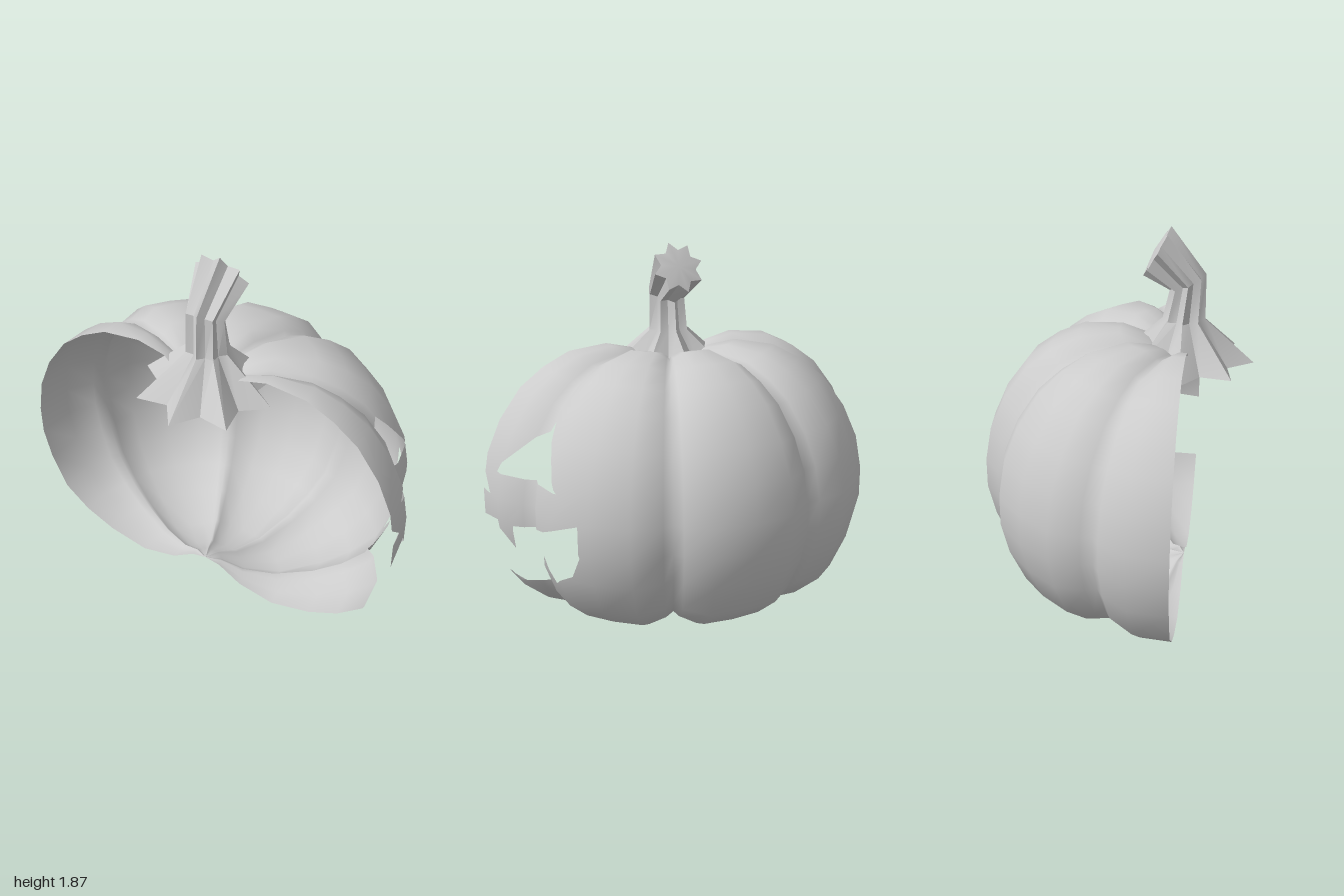
import * as THREE from 'three';
import { toCreasedNormals } from 'three/addons/utils/BufferGeometryUtils.js';

const CUT_Z = 0.345, MID_Y = 0.69;
const material = () => new THREE.MeshStandardMaterial({ color: 0xcccccc, side: THREE.DoubleSide });

// Rib crest outline (radius, height), from the bottom dimple to under the stem
const PROFILE = [
  [0, 0.13], [0.08, 0.115], [0.2, 0.04], [0.39, 0], [0.6, 0.05], [0.755, 0.125], [0.885, 0.235],
  [0.962, 0.41], [1, 0.57], [1, 0.72], [0.97, 0.89], [0.9, 1.05], [0.79, 1.2], [0.67, 1.29],
  [0.535, 1.355], [0.34, 1.375], [0.2, 1.34], [0.1, 1.24],
];
// One rib: angle from its crest in degrees, and scale of the outline there
const RIB = [[-22.5, 0.917], [-19.7, 0.95], [-11.25, 1], [0, 1], [11.25, 1], [19.7, 0.95]];

// Carved openings on the +x side, as (z, y) outlines
const EYE = [[0, 1.11], [0.2, 0.84], [-0.21, 0.84]];
const NOSE = [[0.36, 0.81], [0.253, 0.712], [0.36, 0.712]];
const MOUTH = [
  [0.36, 0.575], [0.17, 0.605], [0.1, 0.47], [0.08, 0.595], [-0.123, 0.627], [-0.317, 0.708],
  [-0.317, 0.552], [-0.255, 0.437], [-0.107, 0.347], [-0.079, 0.49], [-0.004, 0.312], [0.17, 0.263], [0.36, 0.252],
];

// Half shell of ribs as an indexed grid
function shellGrid() {
  const columns = [];
  for (let rib = 0; rib <= 4; rib++)
    for (const [a, k] of RIB) {
      const deg = rib * 45 + a;
      if (deg >= 0 && deg <= 180) columns.push([THREE.MathUtils.degToRad(deg), k]);
    }
  const pos = [], index = [], n = PROFILE.length;
  columns.forEach(([t, k], i) => {
    PROFILE.forEach(([r, y], j) => {
      const s = THREE.MathUtils.lerp(1, k, Math.min(1, r / 0.34));
      pos.push(r * s * Math.cos(t), MID_Y + (y - MID_Y) * s, CUT_Z - r * s * Math.sin(t));
      if (i && j) {
        const d = i * n + j, c = d - 1, b = d - n, a = b - 1;
        index.push(a, c, d, a, d, b);
      }
    });
  });
  const g = new THREE.BufferGeometry();
  g.setAttribute('position', new THREE.Float32BufferAttribute(pos, 3));
  g.setIndex(index);
  g.computeVertexNormals();
  return g;
}

// Split a polygon of [x,y,z,nx,ny,nz] corners by the line a-b in the z-y plane
function split(poly, a, b) {
  const side = (v) => (b[0] - a[0]) * (v[1] - a[1]) - (b[1] - a[1]) * (v[2] - a[0]);
  const inside = [], outside = [];
  poly.forEach((p, i) => {
    const q = poly[(i + 1) % poly.length], sp = side(p), sq = side(q);
    (sp >= 0 ? inside : outside).push(p);
    if ((sp >= 0) !== (sq >= 0)) {
      const m = p.map((v, c) => v + (q[c] - v) * sp / (sp - sq));
      inside.push(m);
      outside.push(m);
    }
  });
  return { inside, outside };
}

// Remove a counter-clockwise triangle from a polygon, returning the pieces left
function subtract(poly, tri) {
  const left = [];
  let rest = poly;
  for (let e = 0; e < 3 && rest.length > 2; e++) {
    const { inside, outside } = split(rest, tri[e], tri[(e + 1) % 3]);
    if (outside.length > 2) left.push(outside);
    rest = inside;
  }
  return rest.length > 2 ? left : [poly];
}

// Cut the openings through the +x side of the shell
function carve(geometry, outlines) {
  const cutters = outlines.flatMap((o) => {
    const pts = o.map(([z, y]) => new THREE.Vector2(z, y));
    if (THREE.ShapeUtils.isClockWise(pts)) pts.reverse();
    return THREE.ShapeUtils.triangulateShape(pts, []).map((f) => f.map((i) => pts[i].toArray()));
  });
  const P = geometry.attributes.position, N = geometry.attributes.normal, idx = geometry.index.array;
  const corner = (i) => [P.getX(i), P.getY(i), P.getZ(i), N.getX(i), N.getY(i), N.getZ(i)];
  const pos = [], nor = [];
  for (let f = 0; f < idx.length; f += 3) {
    let pieces = [[corner(idx[f]), corner(idx[f + 1]), corner(idx[f + 2])]];
    if (pieces[0].every((v) => v[0] > 0.3))
      for (const c of cutters) pieces = pieces.flatMap((p) => subtract(p, c));
    for (const p of pieces)
      for (let i = 1; i < p.length - 1; i++)
        for (const v of [p[0], p[i], p[i + 1]]) {
          pos.push(...v.slice(0, 3));
          nor.push(...v.slice(3));
        }
  }
  const g = new THREE.BufferGeometry();
  g.setAttribute('position', new THREE.Float32BufferAttribute(pos, 3));
  g.setAttribute('normal', new THREE.Float32BufferAttribute(nor, 3));
  return g;
}

// Bent stem: eight-pointed star sections, flared at the base
function stemGeometry() {
  // height, z, tip radius, valley radius, tilt, twist
  const rings = [
    [1.22, 0.315, 0.335, 0.23, 0, 0],
    [1.43, 0.31, 0.102, 0.078, 0, 0],
    [1.61, 0.325, 0.094, 0.07, 0.44, 0.08],
    [1.755, 0.178, 0.131, 0.09, 1.07, 0.2],
  ];
  const n = 16, pos = [], index = [];
  rings.forEach(([y, z, tip, valley, tilt, twist], j) => {
    for (let i = 0; i < n; i++) {
      const a = i / n * Math.PI * 2 + twist, r = i % 2 ? valley : tip;
      const f = r * Math.cos(a);
      pos.push(0.017 + r * Math.sin(a), y + f * Math.sin(tilt), z + f * Math.cos(tilt));
      if (j) {
        const d = j * n + i, b = j * n + (i + 1) % n;
        index.push(d - n, b - n, b, d - n, b, d);
      }
    }
  });
  // End cap
  const last = (rings.length - 1) * n;
  pos.push(0.017, 1.762, 0.165);
  for (let i = 0; i < n; i++) index.push(last + i, last + (i + 1) % n, last + n);
  const g = new THREE.BufferGeometry();
  g.setAttribute('position', new THREE.Float32BufferAttribute(pos, 3));
  g.setIndex(index);
  return toCreasedNormals(g, 0.6);
}

export function createModel() {
  const group = new THREE.Group();
  group.name = 'carvedPumpkinHalf';
  const shell = new THREE.Mesh(carve(shellGrid(), [EYE, NOSE, MOUTH]), material());
  shell.name = 'pumpkinShell';
  const stem = new THREE.Mesh(stemGeometry(), material());
  stem.name = 'stem';
  group.add(shell, stem);
  return group;
}
